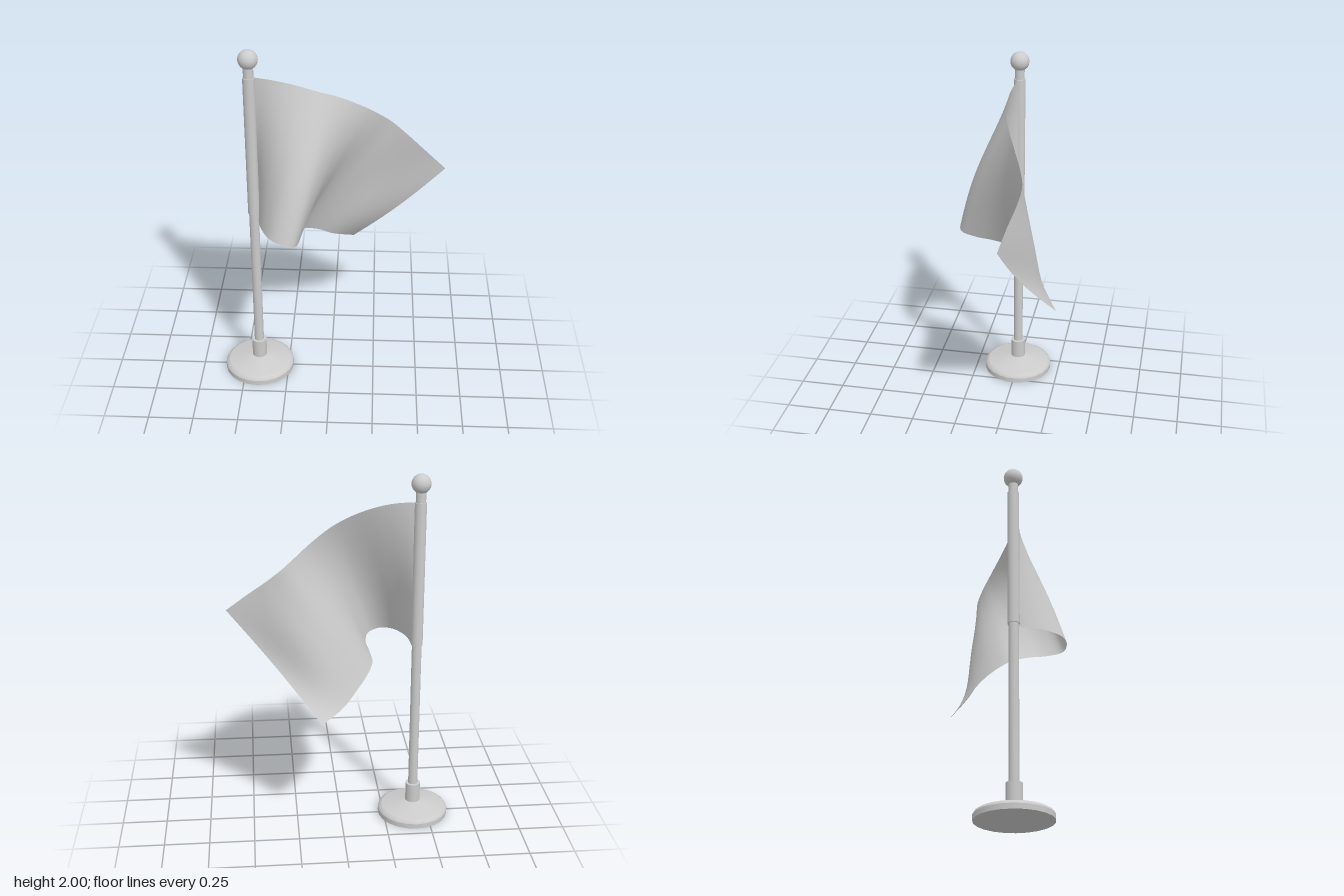
import * as THREE from 'three';

const material = new THREE.MeshStandardMaterial({ color: 0xcccccc });
const clothMaterial = new THREE.MeshStandardMaterial({ color: 0xcccccc, side: THREE.DoubleSide });
const POLE_X = -0.42;

const curve = (points) => new THREE.CatmullRomCurve3(points.map((p) => new THREE.Vector3(...p)));

// Cloth lofted between its top and bottom edges, matched by arc length so it does not stretch
function clothGeometry(columns, rows) {
  const top = curve([
    [-0.39, 1.85, 0], [-0.3, 1.843, 0.014], [-0.2, 1.825, 0.02], [-0.07, 1.785, 0.013],
    [0.05, 1.735, -0.025], [0.17, 1.66, -0.08], [0.25, 1.6, -0.12], [0.32, 1.545, -0.143],
    [0.4, 1.48, -0.132], [0.5, 1.4, -0.1], [0.61, 1.31, -0.07],
  ]);
  const bottom = curve([
    [-0.39, 1.05, 0], [-0.385, 1.05, 0.09], [-0.36, 1.05, 0.18], [-0.305, 1.045, 0.27],
    [-0.24, 1.035, 0.302], [-0.185, 1.015, 0.29], [-0.16, 0.998, 0.2], [-0.17, 0.98, 0.1],
    [-0.178, 0.95, 0.01], [-0.14, 0.91, -0.075], [-0.08, 0.86, -0.15], [0, 0.79, -0.22],
    [0.12, 0.73, -0.3],
  ]);
  // Depth of the belly in the middle of the cloth, from hoist to fly
  const belly = new THREE.SplineCurve(
    [[0, 0], [0.2, 0.025], [0.4, 0.035], [0.55, 0.015], [0.7, -0.025], [0.85, -0.03], [1, 0.035]]
      .map((p) => new THREE.Vector2(...p)));

  const positions = [];
  const indices = [];
  for (let i = 0; i <= columns; i++) {
    const u = i / columns;
    const a = top.getPointAt(u);
    const b = bottom.getPointAt(u);
    const depth = belly.getPoint(u).y;
    for (let j = 0; j <= rows; j++) {
      const v = j / rows;
      const p = a.clone().lerp(b, v);
      positions.push(p.x, p.y, p.z + depth * Math.sin(Math.PI * v));
      if (i < columns && j < rows) {
        const k = i * (rows + 1) + j;
        const next = k + rows + 1;
        indices.push(k, k + 1, next, k + 1, next + 1, next);
      }
    }
  }
  const geometry = new THREE.BufferGeometry();
  geometry.setAttribute('position', new THREE.Float32BufferAttribute(positions, 3));
  geometry.setIndex(indices);
  geometry.computeVertexNormals();
  return geometry;
}

export function createModel() {
  const model = new THREE.Group();
  model.name = 'flagOnStand';

  const add = (name, geometry, x = 0, y = 0, mat = material) => {
    const mesh = new THREE.Mesh(geometry, mat);
    mesh.name = name;
    mesh.position.set(x, y, 0);
    model.add(mesh);
  };
  const rod = (name, radius, y0, y1) =>
    add(name, new THREE.CylinderGeometry(radius, radius, y1 - y0, 20), POLE_X, (y0 + y1) / 2);

  // Round weighted base; doubled points keep the rims crisp
  const profile = [
    [0, 0], [0.2, 0], [0.2, 0], [0.2, 0.028], [0.2, 0.028], [0.194, 0.04], [0.18, 0.048],
    [0.18, 0.048], [0.045, 0.08], [0.045, 0.08], [0, 0.08],
  ].map((p) => new THREE.Vector2(...p));
  add('base', new THREE.LatheGeometry(profile, 22), POLE_X);

  // Pole with its socket, cloth sleeve and ball finial
  rod('socket', 0.042, 0.07, 0.19);
  rod('pole', 0.027, 0.08, 1.92);
  rod('sleeve', 0.032, 1.05, 1.85);
  add('finial', new THREE.SphereGeometry(0.052, 24, 16), POLE_X, 1.948);

  // Waving cloth
  add('flag', clothGeometry(64, 24), 0, 0, clothMaterial);

  return model;
}
